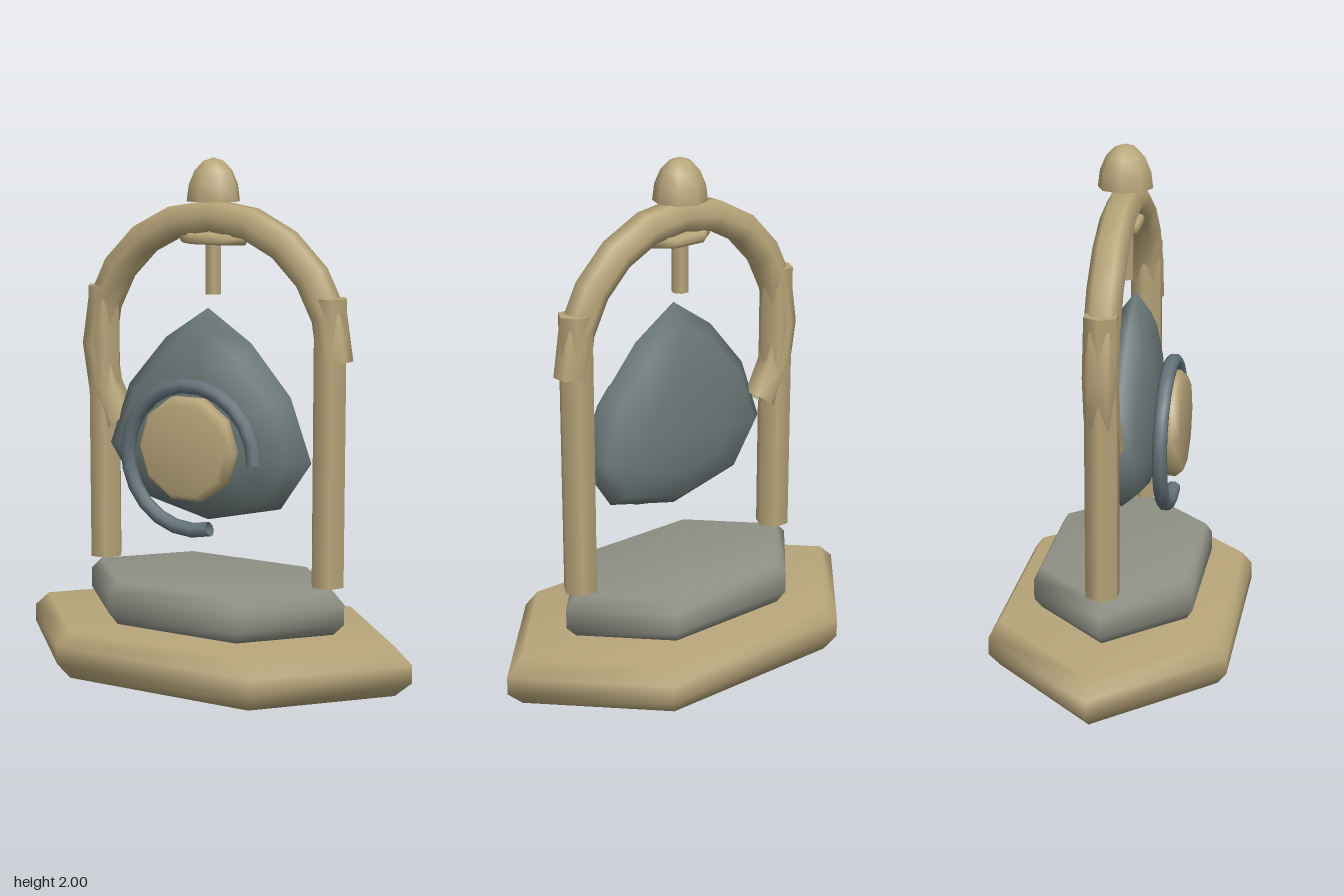
import * as THREE from 'three';
import { mergeVertices } from 'three/addons/utils/BufferGeometryUtils.js';

const material = (name, color, side = THREE.FrontSide) => {
  const m = new THREE.MeshStandardMaterial({ color, side });
  m.name = name;
  return m;
};

// Weld a geometry and give it smooth normals
function smooth(geometry) {
  geometry.deleteAttribute('uv');
  geometry.deleteAttribute('normal');
  const welded = mergeVertices(geometry, 1e-4);
  welded.computeVertexNormals();
  return welded;
}

// Stack scaled copies of a counter-clockwise outline along z; rings are [scale, z]
function loft(outline, rings) {
  const n = outline.length, positions = [], index = [];
  for (const [s, z] of rings) for (const [x, y] of outline) positions.push(x * s, y * s, z);
  for (let r = 0; r < rings.length - 1; r++) {
    for (let i = 0; i < n; i++) {
      const a = r * n + i, b = r * n + (i + 1) % n;
      index.push(a, b, b + n, a, b + n, a + n);
    }
  }
  const g = new THREE.BufferGeometry();
  g.setAttribute('position', new THREE.Float32BufferAttribute(positions, 3));
  g.setIndex(index);
  return smooth(g);
}

// Elongated hexagonal slab with chamfered rims, lying flat
function slab(halfX, halfZ, bottom, top, chamfer) {
  const outline = [[halfX, 0], [halfX / 2, halfZ], [-halfX / 2, halfZ],
    [-halfX, 0], [-halfX / 2, -halfZ], [halfX / 2, -halfZ]];
  const rings = [[0, bottom], [0.92, bottom], [1, bottom + chamfer],
    [1, top - chamfer], [0.92, top], [0, top]];
  return loft(outline, rings).rotateX(-Math.PI / 2);
}

// Open ring of tube in the xy plane, counter-clockwise from +x
function ringArc(radius, tube, sides, segments, arc) {
  const profile = [];
  for (let i = 0; i <= sides; i++) {
    const a = ((i + 0.5) / sides) * Math.PI * 2;
    profile.push(new THREE.Vector2(radius + tube * Math.cos(a), tube * Math.sin(a)));
  }
  return smooth(new THREE.LatheGeometry(profile, segments, Math.PI / 2, arc).rotateX(Math.PI / 2));
}

export function createModel() {
  const model = new THREE.Group();
  const tan = material('tan', 0xb8a67a);
  const tanTube = material('tan tube', 0xb8a67a, THREE.DoubleSide);
  const grey = material('warm grey', 0x909286);
  const slate = material('slate', 0x6b7878);
  const blueSlate = material('blue slate', 0x64737a, THREE.DoubleSide);

  const add = (name, geometry, mat, x = 0, y = 0, z = 0) => {
    const mesh = new THREE.Mesh(geometry, mat);
    mesh.name = name;
    mesh.position.set(x, y, z);
    model.add(mesh);
    return mesh;
  };

  // Stepped base
  add('base', slab(0.86, 0.465, 0, 0.19, 0.06), tan);
  add('upperBase', slab(0.575, 0.312, 0.2, 0.37, 0.045), grey);

  // Posts
  for (const [side, name] of [[1, 'leftPost'], [-1, 'rightPost']]) {
    const post = new THREE.CylinderGeometry(0.068, 0.068, 1.1, 6).rotateY(Math.PI / 6);
    add(name, post, tan, side * 0.503, 0.94, 0);
  }

  // Arch, running on past the right post
  add('arch', ringArc(0.525, 0.068, 6, 12, Math.PI * 1.2), tanTube, 0, 1.255, 0);

  // Domed finial with a flat underside
  const dome = new THREE.SphereGeometry(0.105, 8, 4, 0, Math.PI * 2, 0, Math.PI / 2);
  add('finial', dome.scale(1, 0.165 / 0.105, 1), tan, 0, 1.835, 0);
  add('finialUnderside', new THREE.CircleGeometry(0.105, 8).rotateX(Math.PI / 2), tan, 0, 1.835, 0);

  // Hanger below the arch
  add('hangerPlate', slab(0.15, 0.06, 1.672, 1.712, 0.012), tan);
  add('hangerPeg', new THREE.CylinderGeometry(0.034, 0.034, 0.21, 6).rotateY(Math.PI / 6), tan, 0, 1.585, 0);

  // Lens-shaped hanging stone
  const stoneOutline = [[0, 0.51], [-0.19, 0.385], [-0.36, 0.19], [-0.45, -0.055], [-0.32, -0.245],
    [0, -0.32], [0.32, -0.245], [0.45, -0.055], [0.36, 0.19], [0.19, 0.385]];
  const stoneRings = [[0, -0.105], [0.5, -0.091], [0.85, -0.058], [1, 0],
    [0.85, 0.058], [0.5, 0.091], [0, 0.105]];
  add('stone', loft(stoneOutline, stoneRings), slate, 0, 0.92, 0.04);

  // Round boss on the front of the stone
  const circle = Array.from({ length: 10 }, (_, i) => {
    const a = (i / 10) * Math.PI * 2;
    return [0.207 * Math.cos(a), 0.207 * Math.sin(a)];
  });
  const bossRings = [[0, 0.145], [0.88, 0.145], [1, 0.17], [1, 0.21], [0.88, 0.238], [0, 0.238]];
  add('boss', loft(circle, bossRings), tan, 0, 0.905, 0);

  // Curl around the boss
  add('curl', ringArc(0.28, 0.029, 8, 18, Math.PI * 1.6), blueSlate, 0, 0.865, 0.178);

  return model;
}
